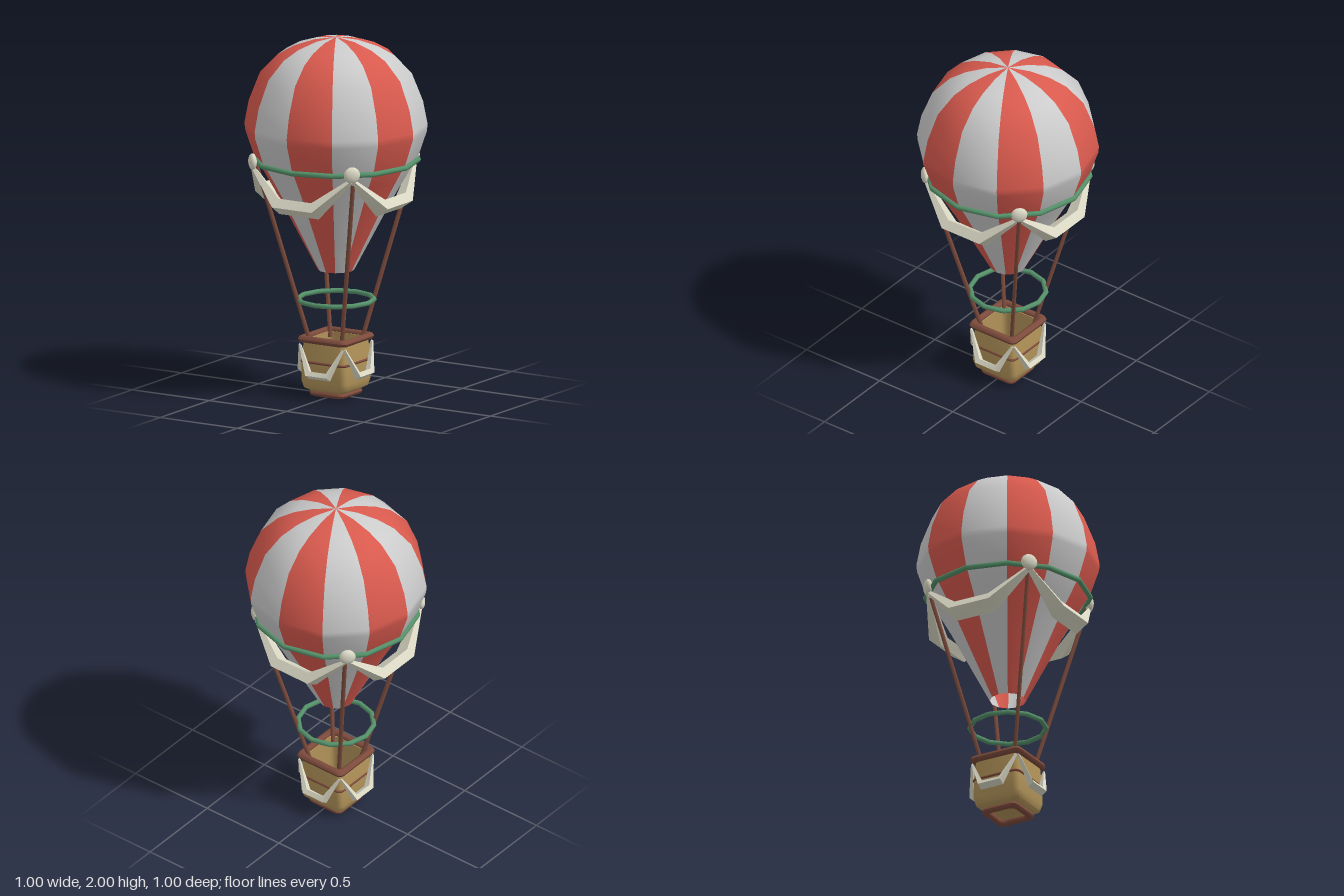
import * as THREE from 'three';
import { toCreasedNormals } from 'three/addons/utils/BufferGeometryUtils.js';

const mat = (color, side = THREE.FrontSide) => new THREE.MeshStandardMaterial({ color, side });
const grey = mat(0xcccccc, THREE.DoubleSide);
const red = mat(0xd95a4e, THREE.DoubleSide);
const green = mat(0x55916a);
const brown = mat(0x7d4b3c);
const tan = mat(0xb3945a, THREE.DoubleSide);
const cream = mat(0xdcdac6, THREE.DoubleSide);

function add(parent, name, geometry, material) {
  const mesh = new THREE.Mesh(geometry, material);
  mesh.name = name;
  parent.add(mesh);
  return mesh;
}

// Skin over rows of points; every row is a closed loop.
function loft(rows, capped = false) {
  const n = rows[0].length, index = [];
  for (let i = 0; i < rows.length - 1; i++) {
    for (let j = 0; j < n; j++) {
      const k = (j + 1) % n;
      const a = i * n + j, b = i * n + k, c = a + n, d = b + n;
      index.push(a, b, c, b, d, c);
    }
  }
  if (capped) {
    const last = (rows.length - 1) * n;
    for (let j = 1; j < n - 1; j++) {
      index.push(0, j + 1, j, last, last + j, last + j + 1);
    }
  }
  const geo = new THREE.BufferGeometry().setFromPoints(rows.flat());
  geo.setIndex(index);
  geo.computeVertexNormals();
  return geo;
}

// Horizontal square loop with rounded corners.
function roundedSquare(half, y, r = 0.03) {
  const pts = [];
  for (let c = 0; c < 4; c++) {
    const mid = Math.PI / 4 + c * Math.PI / 2;
    const cx = Math.sign(Math.sin(mid)) * (half - r);
    const cz = Math.sign(Math.cos(mid)) * (half - r);
    for (let k = 0; k <= 3; k++) {
      const phi = mid + (k / 3 - 0.5) * Math.PI / 2;
      pts.push(new THREE.Vector3(cx + r * Math.sin(phi), y, cz + r * Math.cos(phi)));
    }
  }
  return pts;
}

// Round bar bent into a rounded square.
function squareRing(half, y, tube) {
  const rows = [];
  for (let i = 0; i <= 8; i++) {
    const a = i / 8 * Math.PI * 2;
    rows.push(roundedSquare(half + tube * Math.cos(a), y + tube * Math.sin(a)));
  }
  return loft(rows);
}

// Hanging cloth: three straight runs, thin at the ends, leaning outwards.
function swag(end, mid, thick, high) {
  const path = [
    new THREE.Vector3(-end[0], end[1], end[2]),
    new THREE.Vector3(-mid[0], mid[1], mid[2]),
    new THREE.Vector3(mid[0], mid[1], mid[2]),
    new THREE.Vector3(end[0], end[1], end[2]),
  ];
  const out = new THREE.Vector3(0, 0.56, 0.83);
  const rows = path.map((p, i) => {
    const before = p.clone().sub(path[Math.max(i - 1, 0)]).normalize();
    const after = path[Math.min(i + 1, 3)].clone().sub(p).normalize();
    const up = out.clone().cross(before.add(after)).normalize();
    const s = i % 3 === 0 ? 0.3 : 1;
    return [[1, 1], [-1, 1], [-1, -1], [1, -1]].map(([a, b]) => p.clone()
      .addScaledVector(out, a * s * thick / 2)
      .addScaledVector(up, b * s * high / 2));
  });
  // rows run along +x, corners turn counter-clockwise around it
  return toCreasedNormals(loft(rows.map((r) => r.reverse()), true), 1.1);
}

function ring(parent, name, radius, y, tube) {
  const mesh = add(parent, name, new THREE.TorusGeometry(radius, tube, 8, 12), green);
  mesh.rotation.x = Math.PI / 2;
  mesh.position.y = y;
}

export function createModel() {
  const model = new THREE.Group();
  model.name = 'hotAirBalloon';

  // Envelope: twelve gores in alternating colours
  const profile = [
    [0.1, 0.7], [0.2, 0.89], [0.31, 1.1], [0.385, 1.23], [0.45, 1.34], [0.497, 1.48], [0.5, 1.52],
    [0.476, 1.645], [0.415, 1.8], [0.32, 1.9], [0.23, 1.95], [0.12, 1.985], [0, 2],
  ].map(([x, y]) => new THREE.Vector2(x, y));
  const envelope = new THREE.Group();
  envelope.name = 'envelope';
  model.add(envelope);
  for (let i = 0; i < 12; i++) {
    const geo = new THREE.LatheGeometry(profile, 1, i * Math.PI / 6, Math.PI / 6);
    add(envelope, 'gore', geo, i % 2 ? grey : red);
  }

  // Hoops
  ring(model, 'envelopeHoop', 0.45, 1.32, 0.015);
  ring(model, 'lowerHoop', 0.209, 0.535, 0.014);

  // Ropes from the upper hoop to the basket corners
  for (const sx of [-1, 1]) {
    for (const sz of [-1, 1]) {
      const top = new THREE.Vector3(sx * 0.315, 1.31, sz * 0.315);
      const foot = new THREE.Vector3(sx * 0.1, 0.29, sz * 0.1);
      const line = new THREE.LineCurve3(foot, top);
      add(model, 'rope', new THREE.TubeGeometry(line, 1, 0.012, 6), brown);
    }
  }

  // Cloth swags and round knobs around the envelope
  const trim = new THREE.Group();
  trim.name = 'envelopeTrim';
  trim.position.set(-0.008, 0, 0.008);
  model.add(trim);
  const bigSwag = swag([0.31, 1.285, 0.32], [0.117, 1.11, 0.376], 0.09, 0.06);
  const knob = new THREE.SphereGeometry(0.046, 12, 8).scale(1, 1, 0.5);
  for (let i = 0; i < 4; i++) {
    const turn = i * Math.PI / 2;
    add(trim, 'envelopeSwag', bigSwag, cream).rotation.y = turn;
    const k = add(trim, 'knob', knob, cream);
    const phi = turn + Math.PI / 4;
    k.position.set(0.455 * Math.sin(phi), 1.325, 0.455 * Math.cos(phi));
    k.rotation.y = phi;
  }

  // Basket: outer wall, floor and inner wall in one skin
  const basket = new THREE.Group();
  basket.name = 'basket';
  model.add(basket);
  const wall = [
    [0.031, 0.03], [0.105, 0.03], [0.135, 0.05], [0.145, 0.09], [0.144, 0.2],
    [0.135, 0.32], [0.115, 0.32], [0.12, 0.06], [0.031, 0.06],
  ].map(([half, y]) => roundedSquare(half, y));
  add(basket, 'basketBody', toCreasedNormals(loft(wall, true), 0.8), tan);
  add(basket, 'topRim', squareRing(0.139, 0.322, 0.02), brown);
  add(basket, 'middleBand', squareRing(0.14, 0.197, 0.009), brown);
  add(basket, 'baseRim', squareRing(0.095, 0.018, 0.018), brown);

  // Small swags on each basket side
  const smallSwag = swag([0.138, 0.29, 0.145], [0.062, 0.135, 0.18], 0.04, 0.032);
  for (let i = 0; i < 4; i++) {
    add(basket, 'basketSwag', smallSwag, cream).rotation.y = i * Math.PI / 2;
  }

  return model;
}
